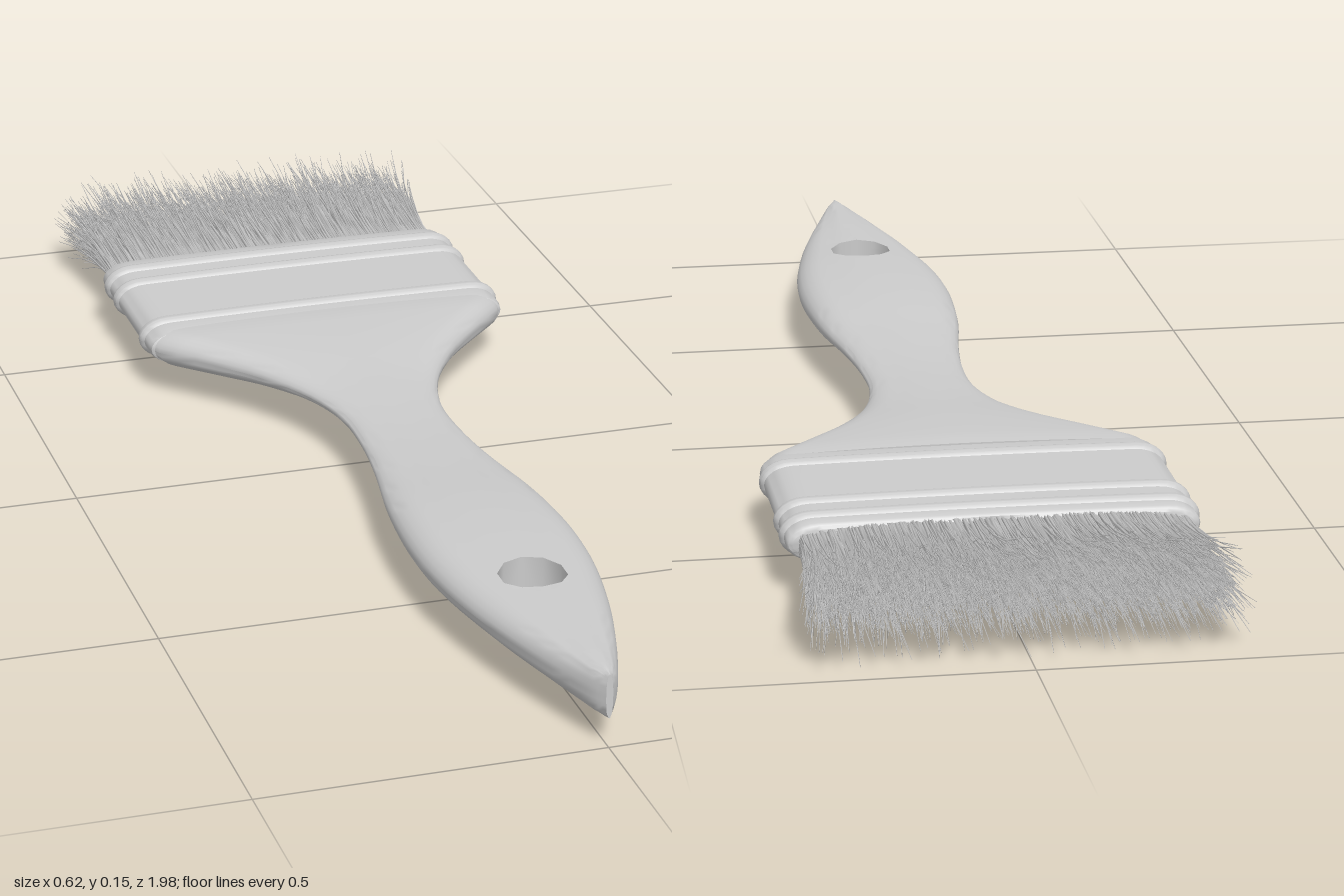
import * as THREE from 'three';
import { mergeGeometries, toCreasedNormals } from 'three/addons/utils/BufferGeometryUtils.js';

const MID = 0.08; // height of the brush's middle plane
const material = () => new THREE.MeshStandardMaterial({ color: 0xcccccc });

// Seeded random numbers in 0..1
let seed = 7;
function rand() {
  seed = (seed * 1664525 + 1013904223) % 4294967296;
  return seed / 4294967296;
}

// Smooth interpolation through [position, value] pairs
function smooth(pts, z) {
  let i = 0;
  while (i < pts.length - 2 && z > pts[i + 1][0]) i++;
  const slope = (k) => {
    const a = pts[Math.max(k - 1, 0)], b = pts[Math.min(k + 1, pts.length - 1)];
    return (b[1] - a[1]) / (b[0] - a[0]);
  };
  const [z0, v0] = pts[i], [z1, v1] = pts[i + 1];
  const h = z1 - z0, s = (z - z0) / h, s2 = s * s, s3 = s2 * s;
  return (2 * s3 - 3 * s2 + 1) * v0 + (s3 - 2 * s2 + s) * h * slope(i)
    + (3 * s2 - 2 * s3) * v1 + (s3 - s2) * h * slope(i + 1);
}

// Half a cross-section: across the crowned top, round the edge, back along the underside
function halfSection({ hw, t, edge, crown, inner = 0 }) {
  const top = [], flat = hw - edge;
  for (let k = 0; k < 4; k++) {
    const x = inner + (flat - inner) * k / 4;
    top.push([x, t * (1 - crown * (x / flat) ** 2)]);
  }
  for (let k = 0; k < 6; k++) {
    const a = Math.PI / 2 * (1 - k / 6);
    top.push([flat + edge * Math.cos(a), t * (1 - crown) * Math.sin(a)]);
  }
  return [...top, [hw, 0], ...top.map(([x, y]) => [x, -y]).reverse()];
}

// Lofts one side (+1 or -1) through rows ordered by z, with walls round a hole and end caps
function loftHalf(rows, side) {
  const pos = [], index = [];
  let n = 0;
  const tri = (a, b, c) => (side > 0 ? index.push(a, b, c) : index.push(a, c, b));
  for (const row of rows) {
    const section = halfSection(row);
    n = section.length;
    for (const [x, y] of section) pos.push(side * x, MID + y, row.z);
  }
  for (let i = 0; i < rows.length - 1; i++) {
    const hole = rows[i].inner || rows[i + 1].inner;
    for (let j = 0; j < (hole ? n : n - 1); j++) {
      const a = i * n + j, b = i * n + (j + 1) % n;
      tri(a, a + n, b);
      tri(b, a + n, b + n);
    }
  }
  const last = (rows.length - 1) * n;
  for (let j = 1; j < n - 1; j++) {
    tri(0, j, j + 1);
    tri(last, last + j + 1, last + j);
  }
  const geo = new THREE.BufferGeometry();
  geo.setAttribute('position', new THREE.Float32BufferAttribute(pos, 3));
  geo.setIndex(index);
  return geo;
}

function loft(name, rows) {
  const geo = mergeGeometries([loftHalf(rows, 1), loftHalf(rows, -1)]);
  const mesh = new THREE.Mesh(toCreasedNormals(geo, 0.7), material());
  mesh.name = name;
  return mesh;
}

// Wooden handle with a pointed end and a hanging hole
function makeHandle() {
  const width = [[-0.36, 0.293], [-0.345, 0.29], [-0.32, 0.268], [-0.27, 0.222], [-0.2, 0.163],
    [-0.1, 0.107], [0, 0.081], [0.1, 0.08], [0.2, 0.09], [0.35, 0.113], [0.5, 0.122], [0.62, 0.114],
    [0.75, 0.09], [0.85, 0.063], [0.93, 0.037], [0.98, 0.018], [1, 0.005]];
  const depth = [[-0.36, 0.032], [-0.33, 0.034], [-0.22, 0.03], [-0.1, 0.022], [0.08, 0.018],
    [0.25, 0.024], [0.4, 0.034], [0.55, 0.038], [0.98, 0.036], [1, 0.033]];
  const holeZ = 0.675, holeR = 0.05, steps = 5;
  const rows = [];
  const add = (z, inner = 0) => {
    const hw = smooth(width, z);
    rows.push({ z, hw, t: smooth(depth, z), edge: Math.min(0.05, hw * 0.5), crown: 0.14, inner });
  };
  for (let i = 0; i <= 40; i++) add(-0.36 + i * 0.0243);
  for (let k = 0; k <= steps; k++) {
    const a = Math.PI * k / steps;
    add(holeZ - holeR * Math.cos(a), k % steps ? holeR * Math.sin(a) : 0);
  }
  for (let i = 1; i <= 16; i++) add(0.725 + 0.275 * Math.sin(i / 16 * Math.PI / 2));
  return loft('handle', rows);
}

// Metal band with raised beads and rolled ends
function makeFerrule() {
  const rows = [];
  const add = (z, d) => rows.push({ z, hw: 0.294 + d, t: 0.0295 + d, edge: 0.045, crown: 0.06 });
  add(-0.672, -0.008);
  add(-0.67, -0.003);
  add(-0.665, 0);
  for (const z of [-0.63, -0.57, -0.4]) {
    for (let k = 0; k <= 6; k++) {
      const s = k / 3 - 1;
      add(z + s * 0.012, 0.006 * Math.sqrt(1 - s * s));
    }
  }
  add(-0.36, 0);
  add(-0.35, -0.002);
  add(-0.347, -0.006);
  return loft('ferrule', rows);
}

// Thin tapering hairs that fan out and curl at the tips
function makeBristles() {
  const pos = [], index = [], count = 3800, segments = 4;
  for (let i = 0; i < count; i++) {
    const x0 = (rand() * 2 - 1) * 0.275;
    const room = 0.024 * Math.sqrt(1 - (x0 / 0.29) ** 4);
    const v = rand() * 2 - 1, y0 = v * room;
    const tipZ = -0.86 - 0.125 * rand();
    const splayX = x0 * 0.06 + (rand() - 0.5) * 0.035;
    const splayY = v * 0.022 + (rand() - 0.5) * 0.035;
    const curlX = (rand() - 0.5) * 0.02, curlY = (rand() - 0.5) * 0.035;
    const base = pos.length / 3;
    for (let s = 0; s <= segments; s++) {
      const u = s / segments, r = 0.0026 * (1 - 0.85 * u);
      const x = x0 + splayX * u * u + curlX * u ** 4;
      const y = MID + y0 + splayY * u ** 1.6 + curlY * u ** 4;
      const z = -0.65 + (tipZ + 0.65) * u;
      for (let j = 0; j < 3; j++) {
        const a = j * Math.PI * 2 / 3 + i;
        pos.push(x + r * Math.cos(a), Math.max(0, y + r * Math.sin(a)), z);
        if (s === segments) continue;
        const p = base + s * 3 + j, q = base + s * 3 + (j + 1) % 3;
        index.push(p, p + 3, q, q, p + 3, q + 3);
      }
    }
  }
  const geo = new THREE.BufferGeometry();
  geo.setAttribute('position', new THREE.Float32BufferAttribute(pos, 3));
  geo.setIndex(index);
  geo.computeVertexNormals();
  const mesh = new THREE.Mesh(geo, material());
  mesh.name = 'bristles';
  return mesh;
}

export function createModel() {
  seed = 7;
  const group = new THREE.Group();
  group.name = 'paintBrush';
  group.add(makeHandle(), makeFerrule(), makeBristles());
  return group;
}
